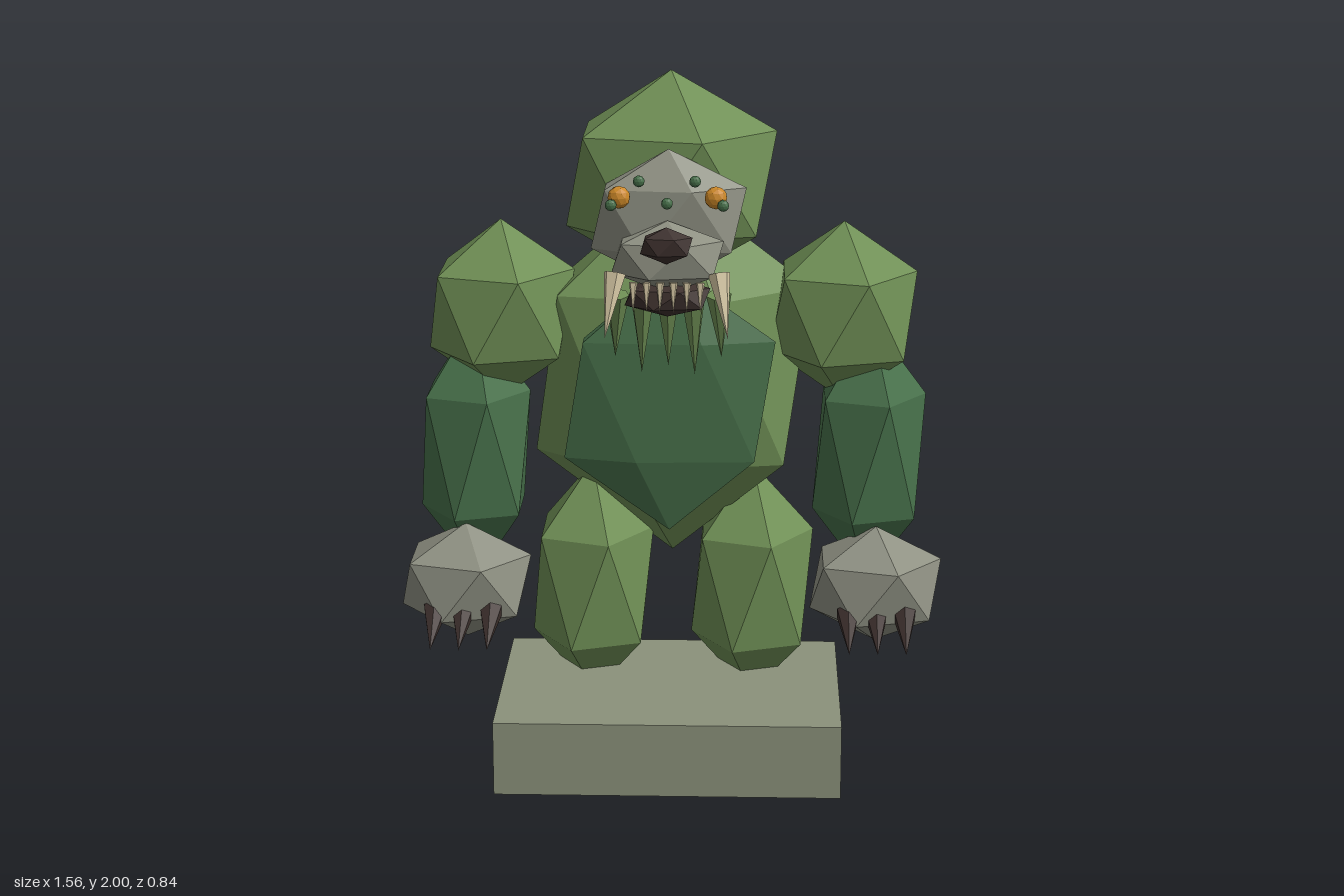
import * as THREE from 'three';

const mat = (name, color) => {
  const m = new THREE.MeshStandardMaterial({ color, flatShading: true });
  m.name = name;
  return m;
};

// Icosahedron with a corner pointing up and an upper-ring corner towards +x
function rockGeometry(detail) {
  return new THREE.IcosahedronGeometry(1, detail)
    .rotateX(-Math.atan((1 + Math.sqrt(5)) / 2))
    .rotateY(Math.PI / 2);
}

export function createModel() {
  const model = new THREE.Group();
  model.name = 'forestBeast';

  const moss = mat('mossGreen', 0x6f8f55);
  const pine = mat('pineGreen', 0x47704a);
  const stone = mat('stoneGrey', 0x8e9082);
  const plinth = mat('plinthGrey', 0x8b917b);
  const dark = mat('darkBrown', 0x3d302d);
  const amber = mat('amber', 0xcc8828);
  const ivory = mat('ivory', 0xd8caa6);

  const rock = rockGeometry(0);
  const bead = rockGeometry(1);

  function add(name, geometry, material, pos, scale = [1, 1, 1]) {
    const mesh = new THREE.Mesh(geometry, material);
    mesh.name = name;
    mesh.position.set(...pos);
    mesh.scale.set(...scale);
    model.add(mesh);
    return mesh;
  }

  // Cone running from the centre of its base to its tip
  function spike(name, material, base, tip, radius, sides = 6) {
    const a = new THREE.Vector3(...base);
    const b = new THREE.Vector3(...tip);
    const dir = b.clone().sub(a);
    const mesh = add(name, new THREE.ConeGeometry(radius, dir.length(), sides), material,
      a.add(b).multiplyScalar(0.5).toArray());
    mesh.quaternion.setFromUnitVectors(new THREE.Vector3(0, 1, 0), dir.normalize());
  }

  // Plinth
  add('plinth', new THREE.BoxGeometry(0.98, 0.215, 0.685), plinth, [0, 0.1075, 0.0175]);

  // Body and head
  add('torso', rock, moss, [0, 1.107, -0.185], [0.447, 0.552, 0.276]);
  add('chestPlate', rock, pine, [0, 1.1, 0.1375], [0.33, 0.38, 0.056]);
  add('head', rock, moss, [0, 1.695, -0.037], [0.33, 0.305, 0.267]);

  // Limbs
  for (const [side, s] of [['left', 1], ['right', -1]]) {
    add(side + 'Leg', rock, moss, [s * 0.235, 0.465, -0.175], [0.2, 0.36, 0.225]);
    add(side + 'Shoulder', rock, moss, [s * 0.49, 1.295, -0.14], [0.235, 0.262, 0.24]);
    add(side + 'Arm', rock, pine, [s * 0.57, 0.885, -0.11], [0.18, 0.39, 0.19]);
    add(side + 'Hand', rock, stone, [s * 0.59, 0.5275, 0.028], [0.21, 0.172, 0.19]);
    for (const dx of [-0.08, 0, 0.08]) {
      const x = s * 0.59 + dx;
      spike(side + 'Claw', dark, [x, 0.475, 0.14], [x, 0.405, 0.287], 0.036);
    }
  }

  // Face
  add('mask', rock, stone, [0, 1.63, 0.2], [0.237, 0.19, 0.092]);
  add('muzzle', rock, stone, [0, 1.54, 0.283], [0.17, 0.1, 0.105]);
  add('nose', rock, dark, [0, 1.592, 0.383], [0.078, 0.05, 0.045]);
  add('mouth', rock, dark, [0, 1.432, 0.29], [0.13, 0.055, 0.075]);

  for (const s of [1, -1]) {
    add('eye', bead, amber, [s * 0.13, 1.705, 0.295], [0.031, 0.031, 0.027]);
    spike('tusk', ivory, [s * 0.14, 1.505, 0.33], [s * 0.165, 1.34, 0.39], 0.031);
  }
  for (const [x, y] of [[-0.15, 1.69], [-0.075, 1.755], [0, 1.695], [0.075, 1.755], [0.15, 1.69]]) {
    add('browBead', bead, pine, [x, y, 0.328], [0.016, 0.016, 0.013]);
  }

  // Small teeth along the lip
  for (let i = 0; i < 6; i++) {
    const x = (i - 2.5) * 0.036;
    spike('tooth', ivory, [x, 1.485, 0.352], [x, 1.405, 0.362], 0.012, 5);
  }

  // Beard
  const beardTips = [1.245, 1.2, 1.22, 1.195, 1.245];
  beardTips.forEach((y, i) => {
    const x = (i - 2) * 0.073;
    spike('beardSpike', moss, [x * 0.95, 1.43, 0.255], [x, y, 0.213], 0.035);
  });

  return model;
}
